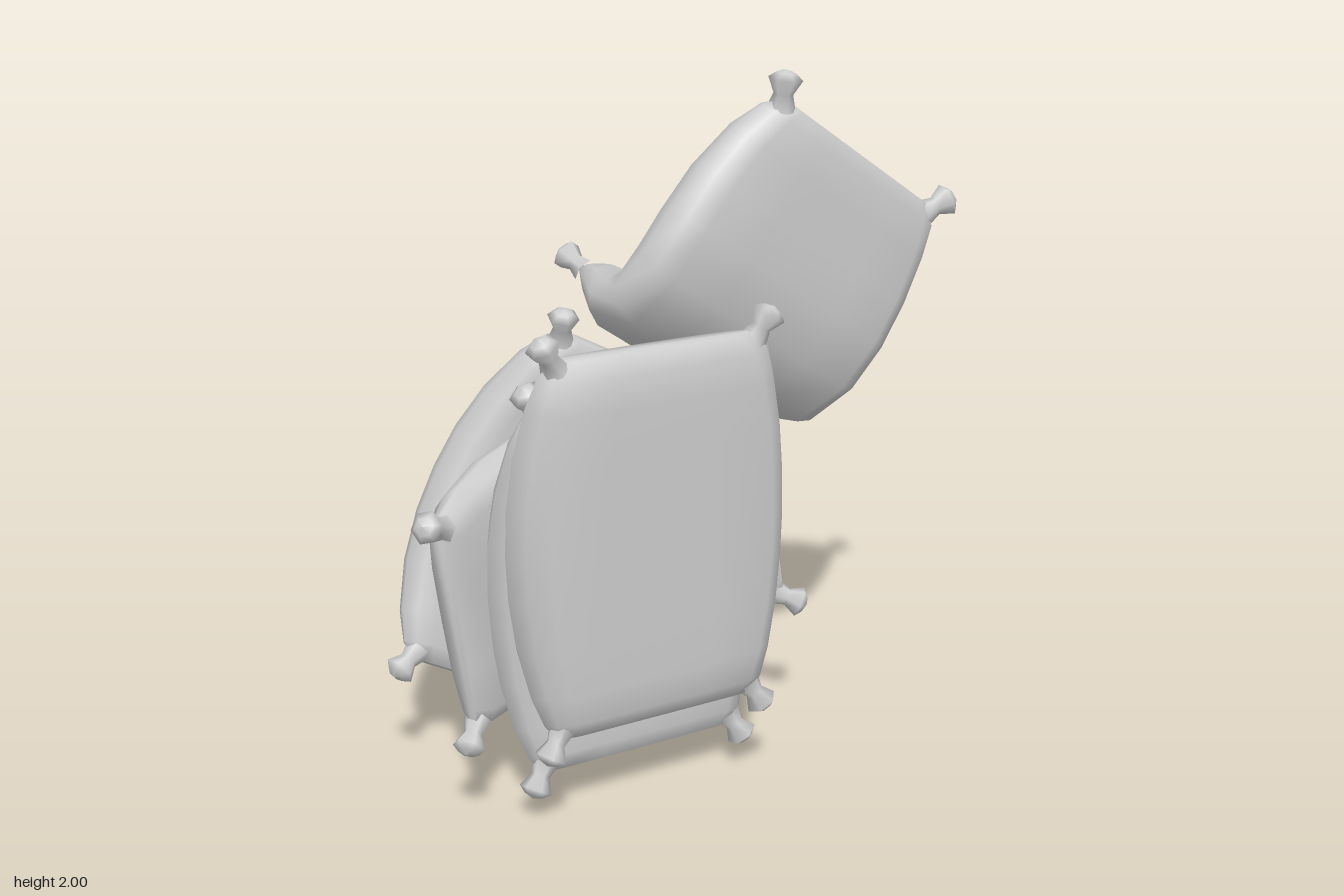
import * as THREE from 'three';

const material = new THREE.MeshStandardMaterial({ color: 0xcccccc });

// Half cross-section from one seam over the top to the middle, and underneath:
// [fraction of half width, fraction of height above (+) or below (-) the seam]
const TOP = [[1, 0], [0.95, 0.42], [0.84, 0.8], [0.5, 0.97]];
const UNDER = [[0.4, -1], [0.8, -0.97], [0.93, -0.6]];
const mirror = (list) => list.map(([x, h]) => [-x, h]).reverse();
const SECTION = [...TOP, [0, 1], ...mirror(TOP), ...mirror(UNDER), ...UNDER];
const STATIONS = [0, 0.04, 0.12, 0.25, 0.38, 0.5, 0.62, 0.75, 0.88, 0.96, 1];

// Tied corner: narrow neck flaring to a blunt tip
const knotGeometry = new THREE.LatheGeometry(
  [[0.04, -0.035], [0.026, 0.01], [0.046, 0.05], [0.026, 0.066], [0, 0.074]]
    .map(([r, y]) => new THREE.Vector2(r, y)), 6);

const swellAt = (u, power) => Math.pow(Math.max(0, Math.sin(Math.PI * u)), power);

// A stuffed sack whose seam follows a [y, z] path; it swells towards -z (top) and +z (under).
// A skew above 1 moves the stuffing towards the end of the path.
function makeSack(name, { at, turn, path, top, under, wide = 0.115, skew = 1 }) {
  const sack = new THREE.Group();
  sack.name = name;
  sack.position.set(at[0], at[1], 0);
  sack.rotation.z = turn;

  const curve = new THREE.CatmullRomCurve3(path.map(([y, z]) => new THREE.Vector3(0, y, z)));
  const positions = [], index = [];
  const n = SECTION.length;
  STATIONS.forEach((u) => {
    const p = curve.getPointAt(u), t = curve.getTangentAt(u);
    const shifted = Math.pow(u, skew);
    const half = 0.3 + wide * swellAt(shifted, 0.55);
    const swell = swellAt(shifted, 0.43);
    const hi = 0.02 + (top - 0.02) * swell;
    const lo = 0.02 + (under - 0.02) * swell;
    for (const [fx, fh] of SECTION) {
      const h = fh > 0 ? fh * hi : fh * lo;
      positions.push(fx * half, p.y + t.z * h, p.z - t.y * h);
    }
  });
  const last = STATIONS.length - 1;
  for (let i = 0; i < last; i++) {
    for (let j = 0; j < n; j++) {
      const a = i * n + j, b = i * n + (j + 1) % n;
      index.push(a, b, b + n, a, b + n, a + n);
    }
  }
  // Thin closed ends
  for (let k = 1; k < n - 1; k++) {
    index.push(0, k + 1, k, last * n, last * n + k, last * n + k + 1);
  }
  const geometry = new THREE.BufferGeometry();
  geometry.setAttribute('position', new THREE.Float32BufferAttribute(positions, 3));
  geometry.setIndex(index);
  geometry.computeVertexNormals();
  const body = new THREE.Mesh(geometry, material);
  body.name = 'sackBody';
  sack.add(body);

  // Four corner knots, pointing outwards along the ends
  const up = new THREE.Vector3(0, 1, 0);
  for (const u of [0, 1]) {
    for (const side of [-1, 1]) {
      const dir = curve.getTangentAt(u).multiplyScalar(u ? 0.86 : -0.86);
      dir.x = 0.5 * side;
      const knot = new THREE.Mesh(knotGeometry, material);
      knot.name = 'cornerKnot';
      knot.position.copy(curve.getPointAt(u));
      knot.position.x = 0.305 * side;
      knot.quaternion.setFromUnitVectors(up, dir.normalize());
      sack.add(knot);
    }
  }
  return sack;
}

// Symmetrical seam path from end depth to middle depth
const arch = (half, end, mid) => [-1, -0.7, -0.35, 0, 0.35, 0.7, 1]
  .map((f) => [f * half, mid + (end - mid) * Math.pow(Math.abs(f), 2.2)]);

export function createModel() {
  const model = new THREE.Group();
  model.name = 'sackPile';
  model.add(
    makeSack('frontSack', {
      at: [-0.2, 0.825], turn: 0, path: arch(0.525, 0.37, 0.31), top: 0.07, under: 0.112,
    }),
    makeSack('secondSack', {
      at: [-0.2, 0.675], turn: 0, path: arch(0.525, 0.265, 0.175), top: 0.125, under: 0.1, wide: 0.11,
    }),
    // Crosswise sack drooping at both ends
    makeSack('crosswiseSack', {
      at: [-0.2, 0.665], turn: -1.43, top: 0.12, under: 0.09, wide: 0.085,
      path: [[-0.52, 0.2], [-0.36, 0.06], [-0.18, -0.03], [0, -0.06], [0.18, -0.05], [0.36, 0.02], [0.525, 0.13]],
    }),
    makeSack('backSack', {
      at: [-0.205, 0.67], turn: -0.505, path: arch(0.51, -0.14, -0.265), top: 0.155, under: 0.1,
    }),
    // Leaning sack folded over: thin lower end lying backwards, stuffing in the upright part
    makeSack('foldedSack', {
      at: [0.135, 1.25], turn: -0.594, top: 0.17, under: 0.085, skew: 1.35,
      path: [[0, -0.25], [-0.035, -0.1], [-0.065, 0.04], [-0.02, 0.15], [0.12, 0.215], [0.28, 0.225], [0.46, 0.235], [0.62, 0.265]],
    }),
  );
  return model;
}
